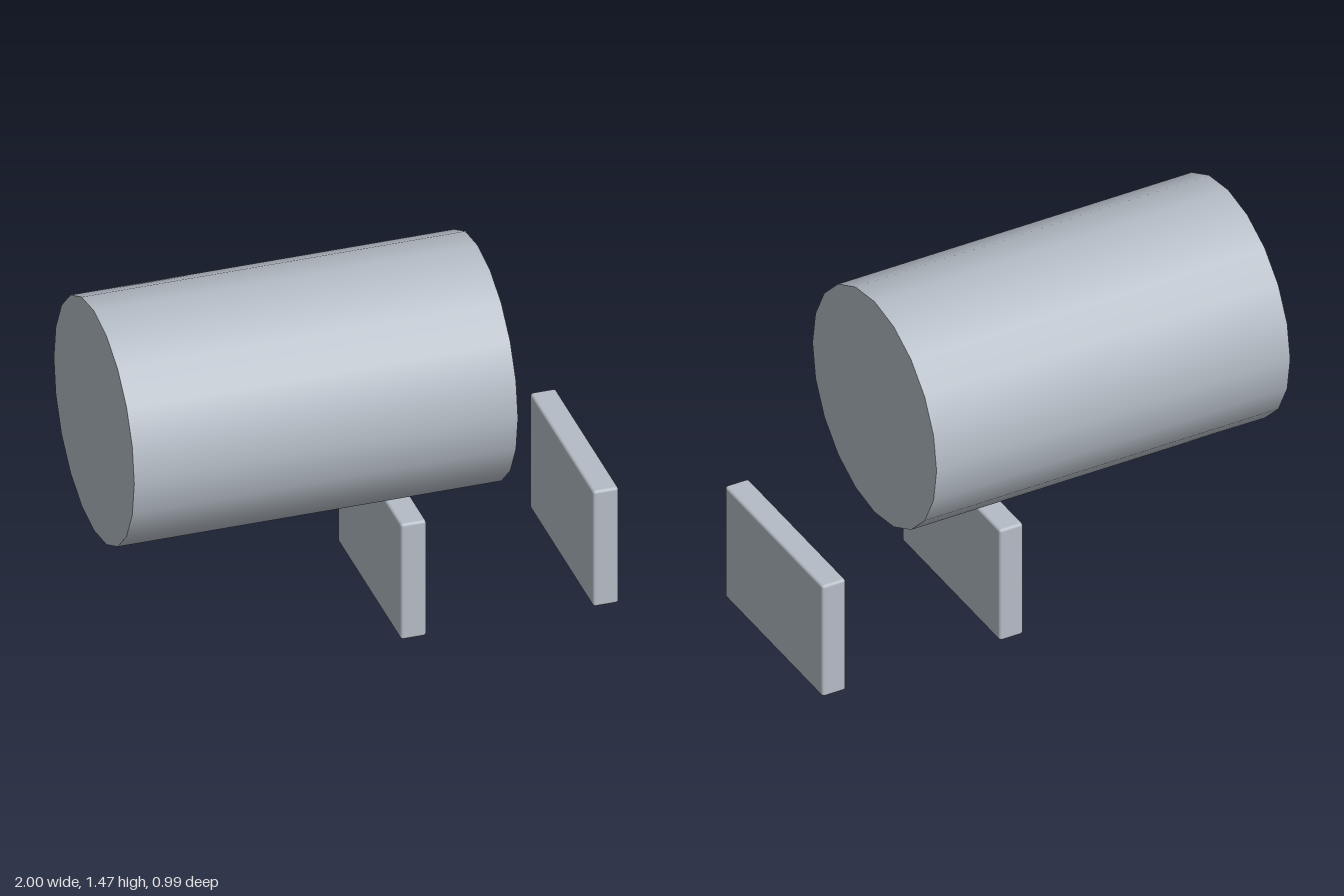
import * as THREE from 'three';
import { RoundedBoxGeometry } from 'three/addons/geometries/RoundedBoxGeometry.js';

export function createModel() {
  const group = new THREE.Group();
  const paleSteel = new THREE.MeshStandardMaterial({ color: 0xb4bcc5 });
  paleSteel.name = 'paleSteel';

  // Horizontal twenty-sided drum with flat end caps
  const left = -1, right = 0.556, radius = 0.494;
  const drum = new THREE.Mesh(
    new THREE.CylinderGeometry(radius, radius, right - left, 20), paleSteel);
  drum.name = 'drum';
  drum.rotation.z = Math.PI / 2;
  drum.position.set((left + right) / 2, 0.977, 0);
  group.add(drum);

  // Two upright support plates with softened edges
  const height = 0.52, thickness = 0.104, depth = 0.78;
  const plate = new RoundedBoxGeometry(thickness, height, depth, 3, 0.012);
  for (const [name, x] of [['innerSupport', 0.168], ['outerSupport', 0.948]]) {
    const support = new THREE.Mesh(plate, paleSteel);
    support.name = name;
    support.position.set(x, height / 2, 0);
    group.add(support);
  }
  return group;
}
